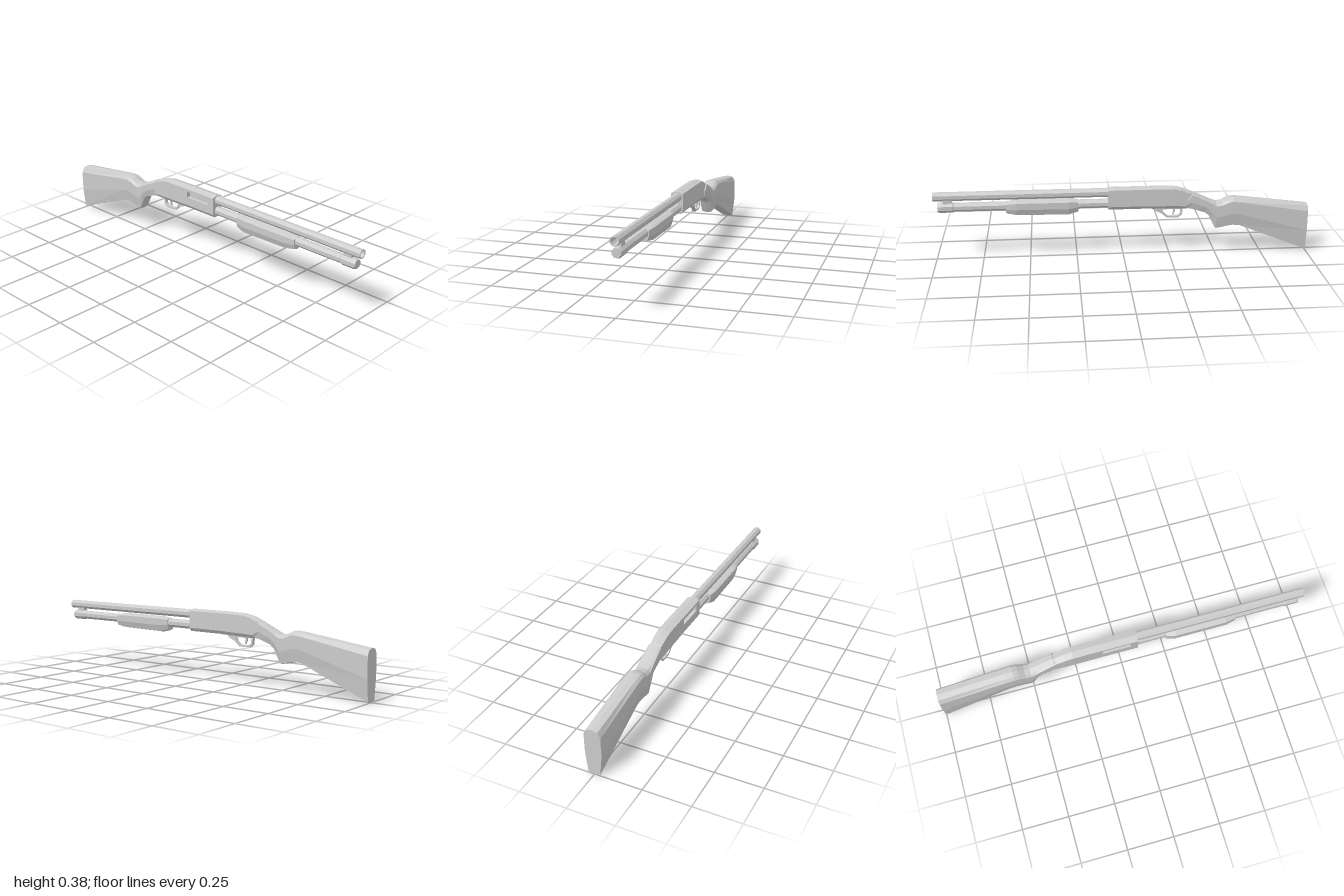
import * as THREE from 'three';

const material = new THREE.MeshStandardMaterial({ color: 0xcccccc, flatShading: true, side: THREE.DoubleSide });

function part(group, name, geometry) {
  const mesh = new THREE.Mesh(geometry, material);
  mesh.name = name;
  group.add(mesh);
  return mesh;
}

// Skin over cross-sections [z, [[x, y], ...]], ordered front to back, each counter-clockwise from the front
function loft(sections) {
  const pos = [];
  const rings = sections.map(([z, pts]) => pts.map(([x, y]) => [x, y, z]));
  const tri = (a, b, c) => pos.push(...a, ...b, ...c);
  const n = rings[0].length;
  const cap = (ring, front) => {
    const mid = [0, 1, 2].map(k => ring.reduce((s, p) => s + p[k], 0) / n);
    ring.forEach((p, j) => {
      const q = ring[(j + 1) % n];
      if (front) tri(mid, p, q); else tri(mid, q, p);
    });
  };
  for (let i = 0; i < rings.length - 1; i++) {
    for (let j = 0; j < n; j++) {
      const k = (j + 1) % n;
      const a = rings[i][j], b = rings[i][k], c = rings[i + 1][k], d = rings[i + 1][j];
      tri(a, d, c);
      tri(a, c, b);
    }
  }
  cap(rings[0], true);
  cap(rings[rings.length - 1], false);
  const geometry = new THREE.BufferGeometry();
  geometry.setAttribute('position', new THREE.Float32BufferAttribute(pos, 3));
  geometry.computeVertexNormals();
  return geometry;
}

// Faceted oval section: ridge on top, chamfered shoulders, tapering underside
function ovalSection([z, t, b, w]) {
  const h = t - b;
  const right = [[w * 0.72, b + 0.006], [w, b + h * 0.45], [w, t - h * 0.13], [w * 0.68, t - 0.006]];
  const left = right.map(([x, y]) => [-x, y]).reverse();
  return [z, [[0, b], ...right, [0, t], ...left]];
}

// Receiver section with an optional side notch (ejection port) and belly notch (loading port)
function receiverSection([z, t, b, w, side, belly]) {
  const h = t - b, cx = -0.003, y1 = b + h * 0.8, y0 = b + h * 0.52, m = w * 0.42;
  const pts = [
    [w * 0.6, b], [w, b + h * 0.15], [w, t - 0.01], [0, t], [-w, t - 0.01],
    [-w, y1], [-w + side, y1], [-w + side, y0], [-w, y0],
    [-w, b + h * 0.15], [-w * 0.6, b],
    [-m, b], [-m, b + belly], [m, b + belly], [m, b],
  ];
  return [z, pts.map(([x, y]) => [x + cx, y])];
}

// Eight-sided turned part along z from a [radius, z] profile
function tube(profile, y) {
  const g = new THREE.LatheGeometry(profile.map(p => new THREE.Vector2(...p)), 8, Math.PI / 8);
  return g.rotateX(Math.PI / 2).translate(0.001, y, 0);
}

// Plate drawn in (z, y) and given a thickness across x
function plate(outline, hole, width) {
  const toVec = pts => pts.map(p => new THREE.Vector2(...p));
  const shape = new THREE.Shape(toVec(outline));
  if (hole) shape.holes.push(new THREE.Path(toVec(hole)));
  const g = new THREE.ExtrudeGeometry(shape, { depth: width, bevelEnabled: false });
  return g.translate(0, 0, -width / 2).rotateY(-Math.PI / 2);
}

export function createModel() {
  const model = new THREE.Group();
  model.name = 'pumpShotgun';

  // Barrel with open bore, and bead sight
  part(model, 'barrel', tube([[0.024, 0.05], [0.024, 1], [0.019, 1], [0.019, 0.85], [0, 0.85]], 0.352));
  part(model, 'beadSight', new THREE.SphereGeometry(0.004, 6, 4).translate(0.001, 0.375, 0.975));

  // Magazine tube with a thicker end cap, tied to the barrel by a lug
  part(model, 'magazineTube', tube(
    [[0.024, 0.05], [0.024, 0.89], [0.028, 0.9], [0.028, 0.965], [0.024, 0.977], [0, 0.977]], 0.292));
  part(model, 'barrelLug', new THREE.BoxGeometry(0.026, 0.03, 0.045).translate(0.002, 0.323, 0.925));

  // Sliding grip
  part(model, 'foreEnd', loft([
    [0.62, 0.315, 0.25, 0.028],
    [0.565, 0.325, 0.242, 0.041],
    [0.29, 0.325, 0.238, 0.041],
    [0.24, 0.318, 0.25, 0.029],
  ].map(ovalSection)));

  // Receiver; repeated stations make the square ends of the ports
  part(model, 'receiver', loft([
    [0.08, 0.38, 0.26, 0.034, 0, 0],
    [0.04, 0.38, 0.26, 0.034, 0, 0],
    [0.04, 0.38, 0.26, 0.034, 0.02, 0],
    [0.0, 0.38, 0.26, 0.034, 0.02, 0],
    [0.0, 0.38, 0.26, 0.034, 0.02, 0.02],
    [-0.11, 0.38, 0.26, 0.034, 0.02, 0.02],
    [-0.11, 0.38, 0.26, 0.034, 0, 0.02],
    [-0.16, 0.38, 0.258, 0.034, 0, 0.02],
    [-0.16, 0.38, 0.258, 0.034, 0, 0],
    [-0.27, 0.378, 0.256, 0.034, 0, 0],
    [-0.31, 0.37, 0.255, 0.033, 0, 0],
    [-0.36, 0.35, 0.255, 0.031, 0, 0],
    [-0.4, 0.325, 0.265, 0.027, 0, 0],
  ].map(receiverSection)));

  // Stock with pistol grip
  part(model, 'stock', loft([
    [-0.34, 0.305, 0.254, 0.034],
    [-0.37, 0.347, 0.248, 0.035],
    [-0.44, 0.314, 0.226, 0.038],
    [-0.465, 0.302, 0.205, 0.039],
    [-0.5, 0.288, 0.136, 0.04],
    [-0.53, 0.291, 0.141, 0.041],
    [-0.565, 0.309, 0.149, 0.043],
    [-0.59, 0.314, 0.153, 0.044],
    [-0.63, 0.31, 0.149, 0.044],
    [-1, 0.262, 0.0, 0.044],
  ].map(ovalSection)));

  // Trigger guard and trigger
  part(model, 'triggerGuard', plate(
    [[-0.16, 0.262], [-0.165, 0.245], [-0.205, 0.228], [-0.235, 0.202], [-0.298, 0.202],
      [-0.318, 0.218], [-0.322, 0.262]],
    [[-0.21, 0.25], [-0.218, 0.23], [-0.24, 0.211], [-0.294, 0.211], [-0.308, 0.223], [-0.311, 0.25]],
    0.018));
  part(model, 'trigger', plate(
    [[-0.262, 0.262], [-0.27, 0.24], [-0.266, 0.219], [-0.272, 0.218], [-0.281, 0.238], [-0.28, 0.262]],
    null, 0.009));

  return model;
}
